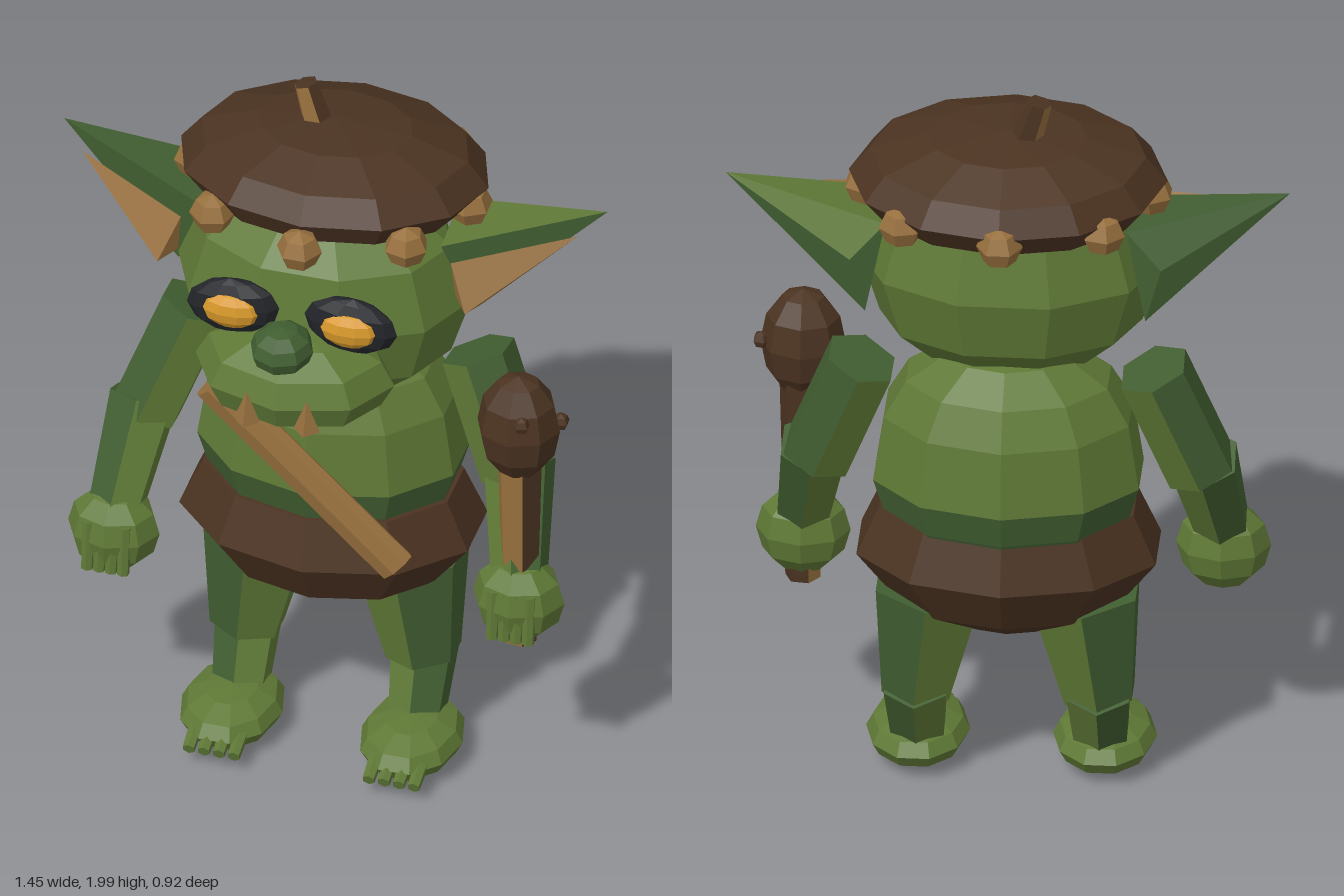
import * as THREE from 'three';
import { ConvexGeometry } from 'three/addons/geometries/ConvexGeometry.js';

const paint = (name, color) => {
  const m = new THREE.MeshStandardMaterial({ color, flatShading: true });
  m.name = name;
  return m;
};

export function createModel() {
  const skin = paint('green skin', 0x5f7936);
  const darkSkin = paint('dark green skin', 0x415e31);
  const leather = paint('dark brown', 0x4b3321);
  const wood = paint('tan wood', 0x966f3d);
  const black = paint('eye black', 0x222429);
  const amber = paint('amber', 0xd8992b);

  const model = new THREE.Group();
  model.name = 'goblin';
  const V = (p) => new THREE.Vector3(...p);

  const add = (name, geometry, material, pos = [0, 0, 0], scale = [1, 1, 1]) => {
    const mesh = new THREE.Mesh(geometry, material);
    mesh.name = name;
    mesh.position.set(...pos);
    mesh.scale.set(...scale);
    model.add(mesh);
    return mesh;
  };
  const ball = (name, material, pos, radii, ws = 8, hs = 6) =>
    add(name, new THREE.SphereGeometry(1, ws, hs), material, pos, radii);

  // Six-sided tapered limb from a down to b: one half and the ends dark, the other half pale.
  // With no turn the dark half faces +x.
  const limb = (name, dark, pale, a, b, ra, rb, turn = 0) => {
    const top = V(a), axis = V(a).sub(V(b));
    const g = new THREE.CylinderGeometry(ra, rb, axis.length(), 6, 1, false, turn);
    g.clearGroups();
    g.addGroup(0, 18, 0);
    g.addGroup(18, 18, 1);
    g.addGroup(36, g.index.count - 36, 0);
    const mesh = add(name, g, [dark, pale], top.addScaledVector(axis, -0.5).toArray());
    mesh.quaternion.setFromUnitVectors(new THREE.Vector3(0, 1, 0), axis.normalize());
  };
  const lathe = (name, material, profile, z, width, depth) =>
    add(name, new THREE.LatheGeometry(profile.map((p) => new THREE.Vector2(...p)), 10),
      material, [0, 0, z], [width, 1, depth]);

  // Torso with a darker waist, and shorts
  lathe('torso', skin, [[0.345, 0.9], [0.318, 1.08], [0.262, 1.18], [0.16, 1.25], [0, 1.28]], -0.11, 1.04, 0.79);
  lathe('waist', darkSkin, [[0, 0.74], [0.29, 0.76], [0.318, 0.81], [0.345, 0.9]], -0.11, 1.04, 0.79);
  lathe('shorts', leather, [[0, 0.45], [0.12, 0.462], [0.285, 0.545], [0.385, 0.68],
    [0.327, 0.815], [0.3, 0.815]], -0.1, 1.05, 0.77);

  // Chest strap
  const strap = add('chestStrap', new THREE.CylinderGeometry(0.055, 0.055, 0.69, 8), wood,
    [0, 0.968, 0.165], [1, 1, 0.66]);
  strap.rotation.z = Math.atan2(0.5, 0.485);

  // Head and face
  ball('head', skin, [0, 1.47, -0.02], [0.39, 0.33, 0.28], 10, 6);
  ball('muzzle', skin, [0, 1.365, 0.25], [0.265, 0.135, 0.19], 8, 6);
  ball('nose', darkSkin, [0, 1.517, 0.37], [0.083, 0.064, 0.09], 8, 6);

  // Cap with beads and stem
  ball('cap', leather, [0, 1.765, -0.115], [0.41, 0.137, 0.32], 12, 6).rotation.x = -0.06;
  for (let i = 0; i < 8; i++) {
    const a = (i * Math.PI) / 4;
    const bead = ball('capBead', wood, [0.365 * Math.sin(a), 1.718, -0.1 + 0.31 * Math.cos(a)],
      [0.06, 0.057, 0.06], 6, 4);
    bead.rotation.y = a;
  }
  limb('capStem', leather, wood, [-0.082, 1.99, -0.13], [-0.045, 1.87, -0.125], 0.032, 0.042, 0.5);

  for (const s of [1, -1]) {
    const at = (p) => [s * p[0], p[1], p[2]];
    const hull = (pts) => new ConvexGeometry(pts.map((p) => V(at(p))));

    // Eyes and tusks
    ball('eyeSocket', black, [s * 0.157, 1.557, 0.278], [0.124, 0.082, 0.038], 10, 6).rotation.z = s * -0.1;
    ball('eye', amber, [s * 0.157, 1.555, 0.296], [0.08, 0.053, 0.036], 10, 6);
    add('tusk', new THREE.ConeGeometry(0.035, 0.09, 4), wood, [s * 0.08, 1.35, 0.418]);

    // Ears: pale on the upper faces of the left one and the lower faces of the right one
    const ear = hull([[0.725, 1.748, -0.125], [0.32, 1.65, 0.01], [0.31, 1.655, -0.2],
      [0.39, 1.45, -0.02], [0.36, 1.41, -0.22], [0.4, 1.56, -0.225]]);
    for (let i = 0; i < ear.attributes.position.count; i += 3)
      ear.addGroup(i, 3, s * ear.attributes.normal.getY(i) > 0.25 ? 0 : 1);
    add('ear', ear, [skin, darkSkin]);
    add('innerEar', hull([[0.66, 1.695, -0.07], [0.41, 1.52, 0.105], [0.36, 1.64, 0.06],
      [0.37, 1.53, 0.05], [0.44, 1.52, 0.05], [0.42, 1.58, -0.03]]), wood);

    // Arms and legs are darker on the outside
    const skinLimb = (name, a, b, ra, rb) =>
      limb(name, darkSkin, skin, at(a), at(b), ra, rb, s > 0 ? 0 : Math.PI);
    skinLimb('upperArm', [0.375, 1.225, -0.14], [0.495, 0.91, -0.085], 0.098, 0.098);
    skinLimb('forearm', [0.5, 0.94, -0.09], [0.54, 0.66, 0.05], 0.095, 0.074);
    skinLimb('thigh', [0.2, 0.57, -0.13], [0.235, 0.26, -0.12], 0.155, 0.1);
    skinLimb('shin', [0.235, 0.29, -0.145], [0.235, 0.09, -0.055], 0.092, 0.076);

    // Hands and feet
    ball('hand', skin, at([0.54, 0.615, 0.055]), [0.122, 0.12, 0.1], 8, 6);
    ball('foot', skin, at([0.24, 0.075, 0]), [0.134, 0.07, 0.18], 10, 6);
    for (let i = 0; i < 4; i++) {
      const f = 0.492 + i * 0.032, t = 0.18 + i * 0.04;
      limb('finger', skin, skin, at([f, 0.67, 0.12]), at([f, 0.53, 0.135]), 0.018, 0.016);
      limb('toe', skin, skin, at([t, 0.085, 0.1]), at([t, 0.055, 0.195]), 0.02, 0.017);
    }
  }

  // Club held in the left hand
  limb('clubHandle', leather, wood, [0.54, 1.08, 0.045], [0.54, 0.48, 0.045], 0.062, 0.046, 0.4);
  ball('clubHead', leather, [0.54, 1.16, 0.055], [0.11, 0.155, 0.1], 8, 6);
  for (const p of [[0.645, 1.175, 0.03], [0.57, 1.22, 0.135], [0.47, 1.12, -0.02]])
    ball('clubKnob', leather, p, [0.024, 0.024, 0.024], 5, 4);

  return model;
}
